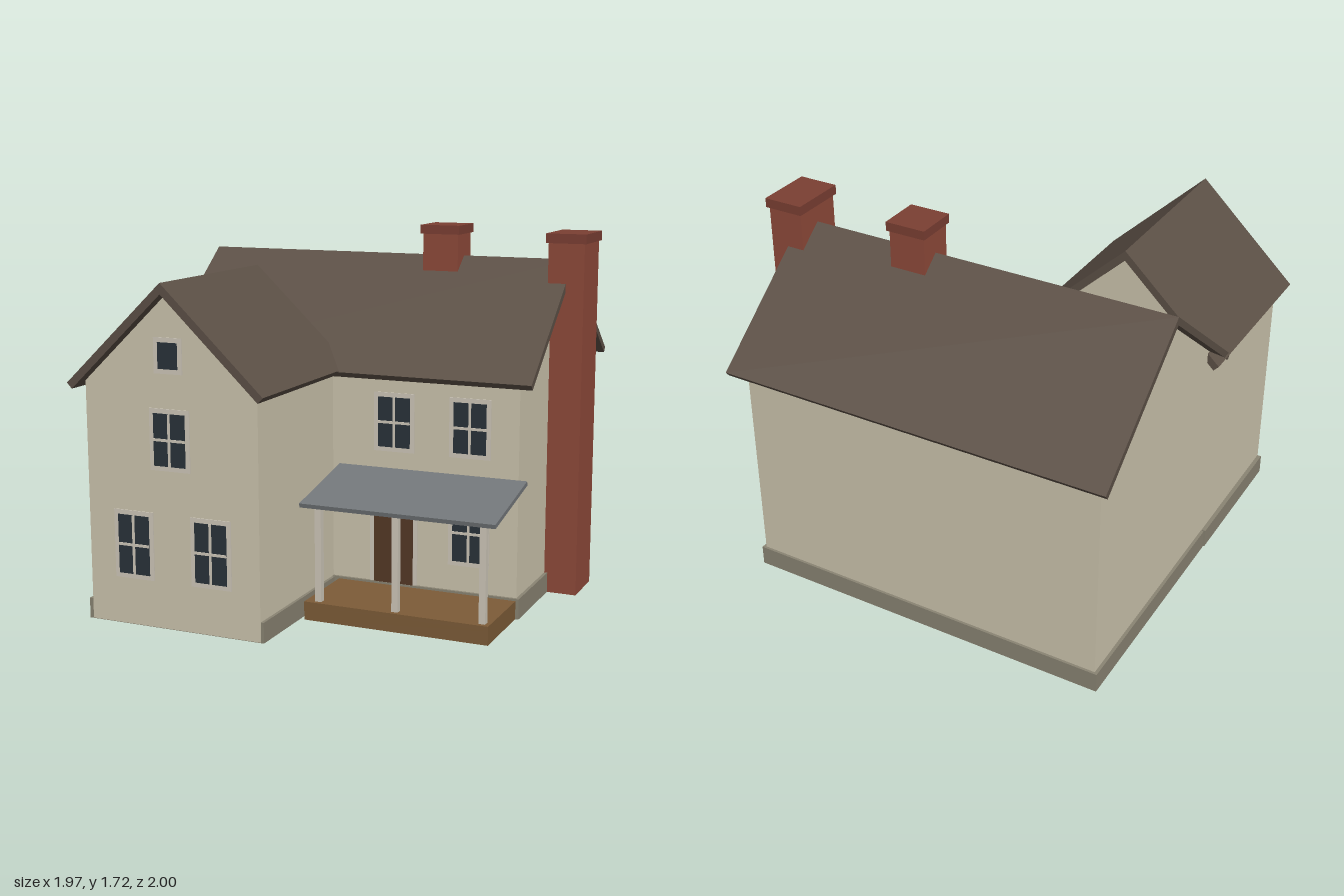
import * as THREE from 'three';

const mat = (color) => new THREE.MeshStandardMaterial({ color, flatShading: true });
const M = {
  wall: mat(0xcdc5ae), stone: mat(0x8a8473), roof: mat(0x5c5046), brick: mat(0x8f4a3a),
  trim: mat(0xcfc8ba), glass: mat(0x29323a), door: mat(0x543826), wood: mat(0x7d5c38), metal: mat(0x73777a),
};

export function createModel() {
  const house = new THREE.Group();
  house.name = 'farmhouse';

  const add = (name, geometry, material, parent = house) => {
    const mesh = new THREE.Mesh(geometry, material);
    mesh.name = name;
    parent.add(mesh);
    return mesh;
  };
  // Box given by its limits on each axis
  const box = (name, material, [x0, x1], [y0, y1], [z0, z1], parent) => {
    const mesh = add(name, new THREE.BoxGeometry(x1 - x0, y1 - y0, z1 - z0), material, parent);
    mesh.position.set((x0 + x1) / 2, (y0 + y1) / 2, (z0 + z1) / 2);
    return mesh;
  };
  const group = (name) => {
    const g = new THREE.Group();
    g.name = name;
    house.add(g);
    return g;
  };
  const extrude = (points, depth) => new THREE.ExtrudeGeometry(
    new THREE.Shape(points.map(([x, y]) => new THREE.Vector2(x, y))), { depth, bevelEnabled: false });

  // Gabled block: five-sided wall prism under a chevron roof slab, both running along local z
  const gabledBlock = (name, { wallHalf, roofHalf, eaveY, ridgeY, t, wall, roof }) => {
    const g = group(name);
    const a = Math.atan2(ridgeY - eaveY, roofHalf);
    const under = ridgeY - t / Math.cos(a);
    const wallY = under - wallHalf * Math.tan(a);
    const inX = roofHalf - t * Math.sin(a), inY = eaveY - t * Math.cos(a);
    const walls = extrude([[-wallHalf, 0.003], [wallHalf, 0.003], [wallHalf, wallY],
      [0, under], [-wallHalf, wallY]], wall[1] - wall[0]);
    add(name + 'Walls', walls, M.wall, g).position.z = wall[0];
    const slab = extrude([[-roofHalf, eaveY], [-inX, inY], [0, under], [inX, inY],
      [roofHalf, eaveY], [0, ridgeY]], roof[1] - roof[0]);
    add(name + 'Roof', slab, M.roof, g).position.z = roof[0];
    return g;
  };

  // Main block has its ridge along x, the wing along z
  const main = gabledBlock('mainBlock', {
    wallHalf: 0.56, roofHalf: 0.625, eaveY: 1.08, ridgeY: 1.575, t: 0.03,
    wall: [-0.93, 0.82], roof: [-0.98, 0.89],
  });
  main.rotation.y = Math.PI / 2;
  main.position.z = -0.373;
  gabledBlock('wing', {
    wallHalf: 0.423, roofHalf: 0.479, eaveY: 1.085, ridgeY: 1.54, t: 0.035,
    wall: [0.18, 0.94], roof: [0.11, 1.0],
  }).position.x = -0.507;

  // Foundations
  box('mainFoundation', M.stone, [-0.945, 0.835], [0, 0.095], [-0.945, 0.2]);
  box('wingFoundation', M.stone, [-0.95, -0.07], [0, 0.093], [0.21, 0.937]);
  box('foundationJoint', M.stone, [-0.935, -0.08], [0, 0.09], [0.19, 0.22]);

  // Chimneys with caps
  const chimney = (name, x, z, y0, y1, y2) => {
    const g = group(name);
    box(name + 'Stack', M.brick, x, [y0, y1], z, g);
    box(name + 'Cap', mat(0x7b3f33), [x[0] - 0.01, x[1] + 0.01], [y1, y2], [z[0] - 0.012, z[1] + 0.012], g);
  };
  chimney('sideChimney', [0.805, 0.975], [-0.492, -0.245], 0, 1.658, 1.702);
  chimney('ridgeChimney', [0.175, 0.35], [-0.463, -0.285], 1.4, 1.68, 1.722);

  // Windows on the front walls: flat trim, glass and crossed muntins
  const window_ = (x, y, z, w, h, crossed = true) => {
    const g = group('window');
    const rect = (name, material, cx, cy, rw, rh, d) =>
      box(name, material, [cx - rw / 2, cx + rw / 2], [cy - rh / 2, cy + rh / 2], [z - 0.01, z + d], g);
    rect('windowTrim', M.trim, x, y, w + 0.042, h + 0.042, 0.005);
    rect('windowGlass', M.glass, x, y, w, h, 0.008);
    if (crossed) {
      rect('muntinVertical', M.trim, x, y, 0.012, h, 0.011);
      rect('muntinHorizontal', M.trim, x, y, w, 0.012, 0.012);
    }
  };
  const wingZ = 0.94, mainZ = 0.187;
  window_(-0.51, 1.223, wingZ, 0.096, 0.115, false);
  window_(-0.51, 0.855, wingZ, 0.155, 0.232);
  for (const x of [-0.702, -0.318]) window_(x, 0.37, wingZ, 0.155, 0.268);
  for (const x of [0.224, 0.59]) window_(x, 0.855, mainZ, 0.155, 0.232);
  window_(0.59, 0.37, mainZ, 0.155, 0.268);

  // Front door
  const door = group('frontDoor');
  box('doorTrim', M.trim, [0.106, 0.34], [0.08, 0.523], [0.177, 0.193], door);
  box('doorPanel', M.door, [0.128, 0.32], [0.085, 0.503], [0.177, 0.198], door);

  // Porch: deck on a rim that is open below, posts and a sloping roof
  const porch = group('porch');
  box('porchDeck', M.wood, [-0.05, 0.82], [0.065, 0.085], [0.2, 0.58], porch);
  box('porchFrontRim', M.wood, [-0.05, 0.82], [0, 0.065], [0.555, 0.58], porch);
  for (const x of [-0.05, 0.795]) box('porchSideRim', M.wood, [x, x + 0.025], [0, 0.065], [0.2, 0.555], porch);
  for (const x of [0.01, 0.38, 0.785])
    box('porchPost', M.trim, [x - 0.015, x + 0.015], [0.085, 0.55], [0.53, 0.56], porch);
  const slab = extrude([[0.185, 0.62], [0.62, 0.53], [0.624, 0.549], [0.189, 0.64]], 0.91);
  const porchRoof = add('porchRoof', slab, M.metal, porch);
  porchRoof.rotation.y = -Math.PI / 2; // profile x becomes z, extrusion runs along -x
  porchRoof.position.x = 0.86;

  return house;
}
